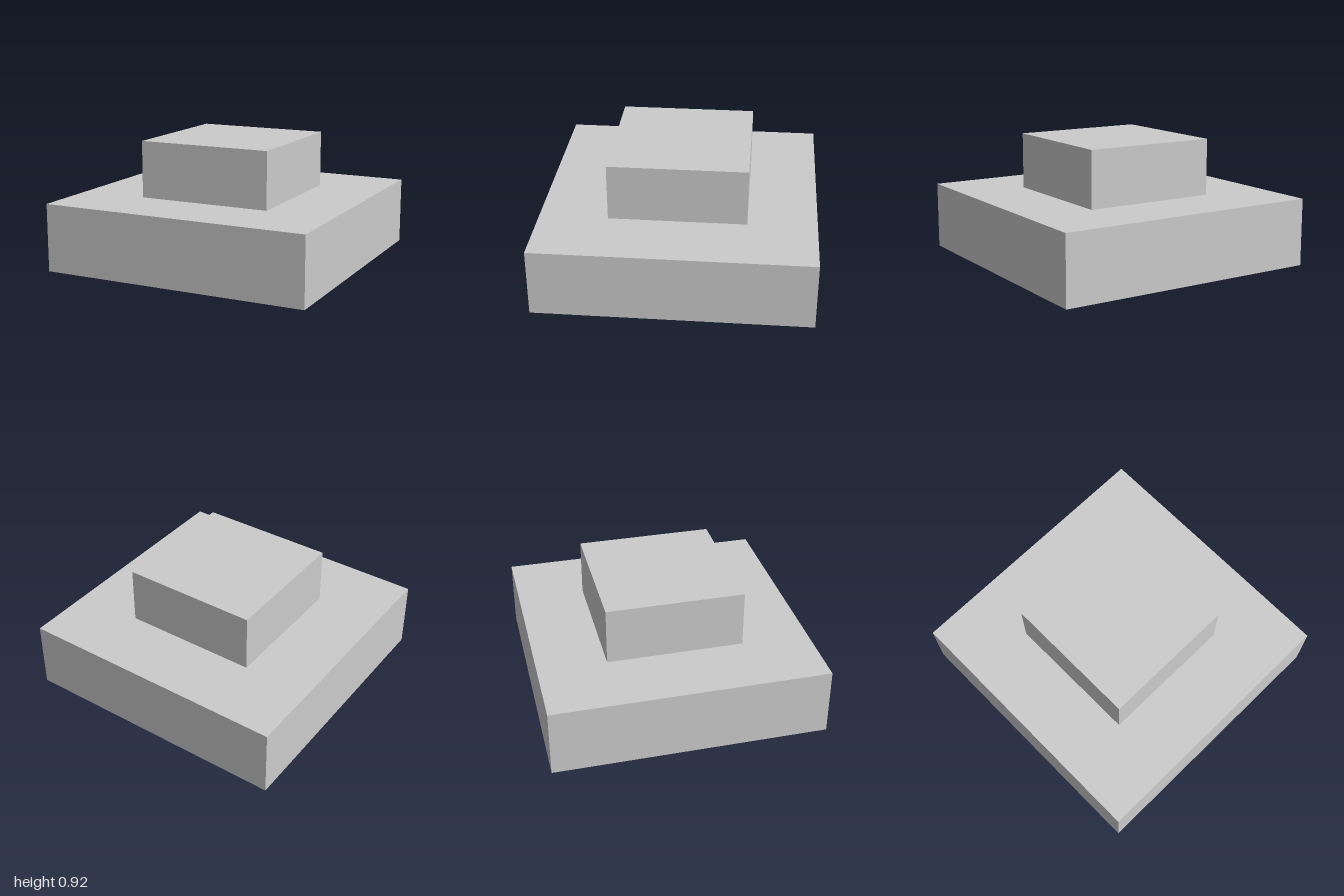
import * as THREE from 'three';

export function createModel() {
  const group = new THREE.Group();
  group.name = 'steppedBlock';
  const material = new THREE.MeshStandardMaterial({ color: 0xcccccc });

  // Square block with its underside at the given height
  const addBlock = (name, width, bottom, top) => {
    const block = new THREE.Mesh(new THREE.BoxGeometry(width, top - bottom, width), material);
    block.name = name;
    block.position.y = (bottom + top) / 2;
    group.add(block);
  };

  addBlock('base', 2, 0, 0.5);
  addBlock('upperBlock', 1, 0.5, 0.92);

  return group;
}
